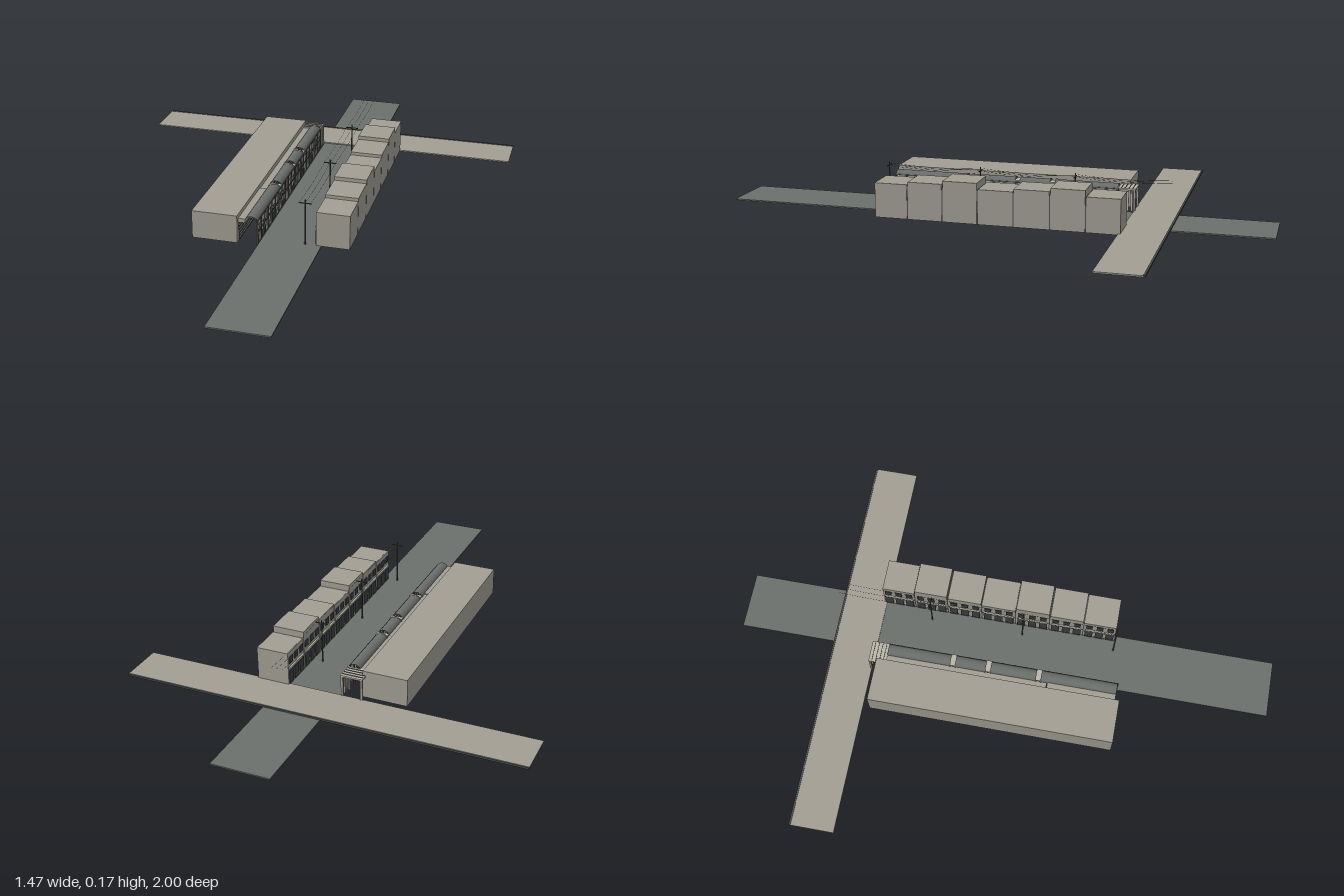
import * as THREE from 'three';

const mat = (name, color, side = THREE.FrontSide) => {
  const m = new THREE.MeshStandardMaterial({ color, side });
  m.name = name;
  return m;
};

export function createModel() {
  const root = new THREE.Group();
  root.name = 'shoppingStreet';
  const plaster = mat('plaster', 0xa29e94);
  const asphalt = mat('asphalt', 0x6c706c);
  const glass = mat('darkGlass', 0x3c4142);
  const metal = mat('darkMetal', 0x4a4d4a);
  const roofing = mat('arcadeRoofing', 0x6a6e6b, THREE.DoubleSide);
  const trim = mat('paleTrim', 0xbab6a8);

  // Box given by its minimum and maximum on each axis
  const box = (parent, name, m, x0, x1, y0, y1, z0, z1) => {
    const mesh = new THREE.Mesh(new THREE.BoxGeometry(x1 - x0, y1 - y0, z1 - z0), m);
    mesh.position.set((x0 + x1) / 2, (y0 + y1) / 2, (z0 + z1) / 2);
    mesh.name = name;
    parent.add(mesh);
    return mesh;
  };
  const group = (name) => {
    const g = new THREE.Group();
    g.name = name;
    root.add(g);
    return g;
  };

  // Streets
  box(root, 'mainRoad', asphalt, -0.015, 0.197, 0, 0.005, -1, 1);
  box(root, 'crossStreet', plaster, -0.735, 0.73, 0.004, 0.009, -0.638, -0.48);
  box(root, 'crossStreetKerb', metal, -0.735, 0.73, 0.004, 0.011, -0.645, -0.638);

  // Row of seven houses, windows facing the road
  const row = group('houseRow');
  const edges = [-0.49, -0.367, -0.241, -0.111, 0.018, 0.147, 0.276, 0.4];
  const heights = [0.13, 0.152, 0.14, 0.13, 0.152, 0.14, 0.13];
  heights.forEach((h, i) => {
    const z0 = edges[i] + 0.002, z1 = edges[i + 1] - 0.002, w = z1 - z0;
    const house = new THREE.Group();
    house.name = 'house';
    row.add(house);
    box(house, 'houseBody', plaster, 0.178, 0.296, 0.004, h, z0, z1);
    for (let k = 0; k < 3; k++) {
      const c = z0 + w * (k + 0.5) / 3;
      box(house, 'upperWindow', glass, 0.175, 0.179, 0.088, 0.113, c - 0.012, c + 0.012);
      box(house, 'shopDoor', glass, 0.175, 0.179, 0.01, 0.06, c - 0.015, c + 0.015);
    }
    box(house, 'awning', trim, 0.172, 0.179, 0.067, 0.074, z0 + 0.006, z1 - 0.006);
    if (i < 6) box(row, 'partyWallGap', metal, 0.18, 0.294, 0.004, 0.126, z1 - 0.001, z1 + 0.005);
  });

  // Long market hall
  const hall = group('marketHall');
  box(hall, 'hallBody', plaster, -0.25, -0.087, 0.004, 0.106, -0.455, 0.45);
  const bays = 20, z0 = -0.42, z1 = 0.435, bay = (z1 - z0) / bays;
  for (let i = 0; i < bays; i++) {
    const a = z0 + i * bay + 0.004, b = a + bay - 0.008;
    box(hall, 'shopFront', glass, -0.088, -0.084, 0.008, 0.072, a, b);
    for (let s = 0; s < 5; s++) {
      const y = 0.015 + s * 0.012;
      box(hall, 'shutterSlat', trim, -0.085, -0.082, y, y + 0.004, a, b);
    }
  }
  box(hall, 'frontCanopy', plaster, -0.087, -0.062, 0.076, 0.091, 0.18, z1);
  box(hall, 'rearCanopy', plaster, -0.087, -0.062, 0.076, 0.088, z0, 0.178);

  // Arcade walk: posts, rails and lattice along the road
  const arcade = group('arcade');
  for (let i = 0; i <= bays; i++) {
    const z = z0 + i * bay;
    box(arcade, 'post', metal, -0.023, -0.016, 0, 0.088, z - 0.003, z + 0.003);
    if (i === bays) continue;
    // Alternating hanging boards and stalls
    const drop = 0.062 + 0.008 * ((i * 7) % 3);
    box(arcade, 'hangingBoard', i % 2 ? trim : plaster, -0.021, -0.018, drop, 0.086, z + 0.006, z + bay - 0.006);
    box(arcade, 'stall', i % 3 ? plaster : metal, -0.021, -0.017, 0.006, 0.02 + 0.005 * ((i * 5) % 4), z + 0.009, z + bay - 0.009);
    box(arcade, 'mullion', trim, -0.021, -0.018, 0.02, 0.075, z + bay / 2 - 0.002, z + bay / 2 + 0.002);
  }
  for (const y of [0.045, 0.084]) box(arcade, 'rail', metal, -0.022, -0.017, y, y + 0.004, z0, z1);

  // Curved roof in sections, separated by pale cross frames
  const addVault = (name, m, from, to, grow) => {
    const g = new THREE.CylinderGeometry(1, 1, to - from, 20, 1, true, -Math.PI / 2, Math.PI);
    g.rotateX(-Math.PI / 2);
    g.scale(0.023 + grow, 0.02 + grow, 1);
    g.computeVertexNormals();
    const mesh = new THREE.Mesh(g, m);
    mesh.name = name;
    mesh.position.set(-0.041, 0.082, (from + to) / 2);
    arcade.add(mesh);
  };
  const frames = [-0.175, -0.043, 0.145];
  let start = z0;
  for (const f of [...frames, z1 + 0.012]) {
    addVault('curvedRoof', roofing, start, f - 0.012, 0);
    start = f + 0.012;
  }
  for (const f of frames) {
    box(arcade, 'skylightFrame', trim, -0.062, -0.018, 0.09, 0.094, f - 0.011, f + 0.011);
    for (const s of [-1, 1]) addVault('roofRib', roofing, f + s * 0.011 - 0.002, f + s * 0.011 + 0.002, 0.002);
  }

  // Entrance gate at the cross street
  const gate = group('entranceGate');
  for (const x of [-0.098, -0.026])
    for (const z of [-0.484, -0.427]) box(gate, 'gatePost', plaster, x, x + 0.008, 0, 0.084, z, z + 0.007);
  box(gate, 'gateRoof', trim, -0.098, -0.018, 0.084, 0.09, -0.485, -0.42);
  for (let i = 0; i < 4; i++) {
    const z = -0.474 + i * 0.014;
    box(gate, 'gateRoofBar', metal, -0.095, -0.021, 0.09, 0.092, z, z + 0.002);
    box(gate, 'gateScreen', trim, -0.022, -0.019, 0.006, 0.08, z, z + 0.007);
  }

  // Utility poles with sagging wires
  const lines = group('powerLine');
  const poleZ = [0.4, 0.052, -0.296];
  for (const z of poleZ) {
    const pole = new THREE.Mesh(new THREE.CylinderGeometry(0.0022, 0.003, 0.17, 8), metal);
    pole.name = 'pole';
    pole.position.set(0.14, 0.088, z);
    lines.add(pole);
    box(lines, 'crossArm', metal, 0.117, 0.163, 0.159, 0.162, z - 0.0015, z + 0.0015);
  }
  const ends = [...poleZ, -0.64];
  for (const x of [0.12, 0.14, 0.16])
    for (let i = 0; i < 3; i++) {
      const a = ends[i], b = ends[i + 1];
      const curve = new THREE.QuadraticBezierCurve3(
        new THREE.Vector3(x, 0.164, a), new THREE.Vector3(x, 0.148, (a + b) / 2), new THREE.Vector3(x, 0.164, b));
      const wire = new THREE.Mesh(new THREE.TubeGeometry(curve, 12, 0.0004, 4), metal);
      wire.name = 'wire';
      lines.add(wire);
    }
  return root;
}
